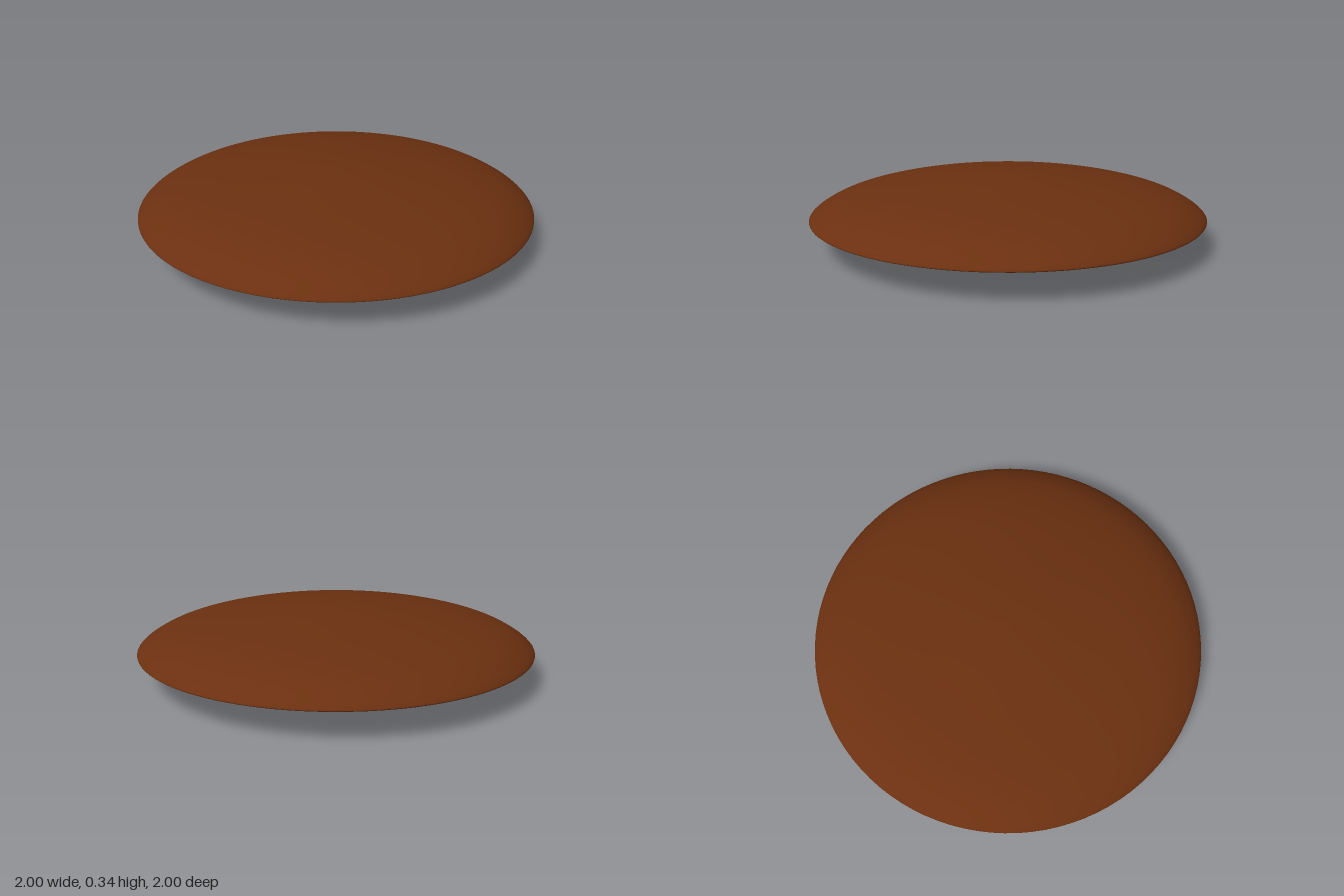
import * as THREE from 'three';

const SEGMENTS = 96;

// Smooth surface of revolution through a few [radius, height] points
function turned(name, points, steps, color, side) {
  const curve = new THREE.SplineCurve(points.map(([r, y]) => new THREE.Vector2(r, y)));
  const profile = curve.getPoints(steps);
  profile.forEach((p) => { p.x = Math.max(p.x, 0); });
  const mesh = new THREE.Mesh(
    new THREE.LatheGeometry(profile, SEGMENTS),
    new THREE.MeshStandardMaterial({ color, side })
  );
  mesh.name = name;
  return mesh;
}

export function createModel() {
  const model = new THREE.Group();
  model.name = 'domedDisc';
  const brown = 0x6b3010;
  const grey = 0x554f4e;

  // Domed top, rolling over into the rounded rim
  model.add(turned('domeTop', [
    [0.98, 0.138], [0.998, 0.146], [0.96, 0.178], [0.88, 0.219], [0.76, 0.255],
    [0.6, 0.286], [0.4, 0.313], [0.2, 0.333], [0, 0.342],
  ], 48, brown, THREE.DoubleSide));

  // Shallow hollow underside
  model.add(turned('underside', [
    [0, 0.225], [0.25, 0.216], [0.45, 0.197], [0.75, 0.168], [0.98, 0.138],
  ], 24, brown, THREE.DoubleSide));

  // Open neck, flaring out to meet the underside
  model.add(turned('neck', [
    [0.445, 0.196], [0.365, 0.178], [0.31, 0.138], [0.268, 0.07], [0.233, 0],
  ], 24, grey, THREE.DoubleSide));

  return model;
}
